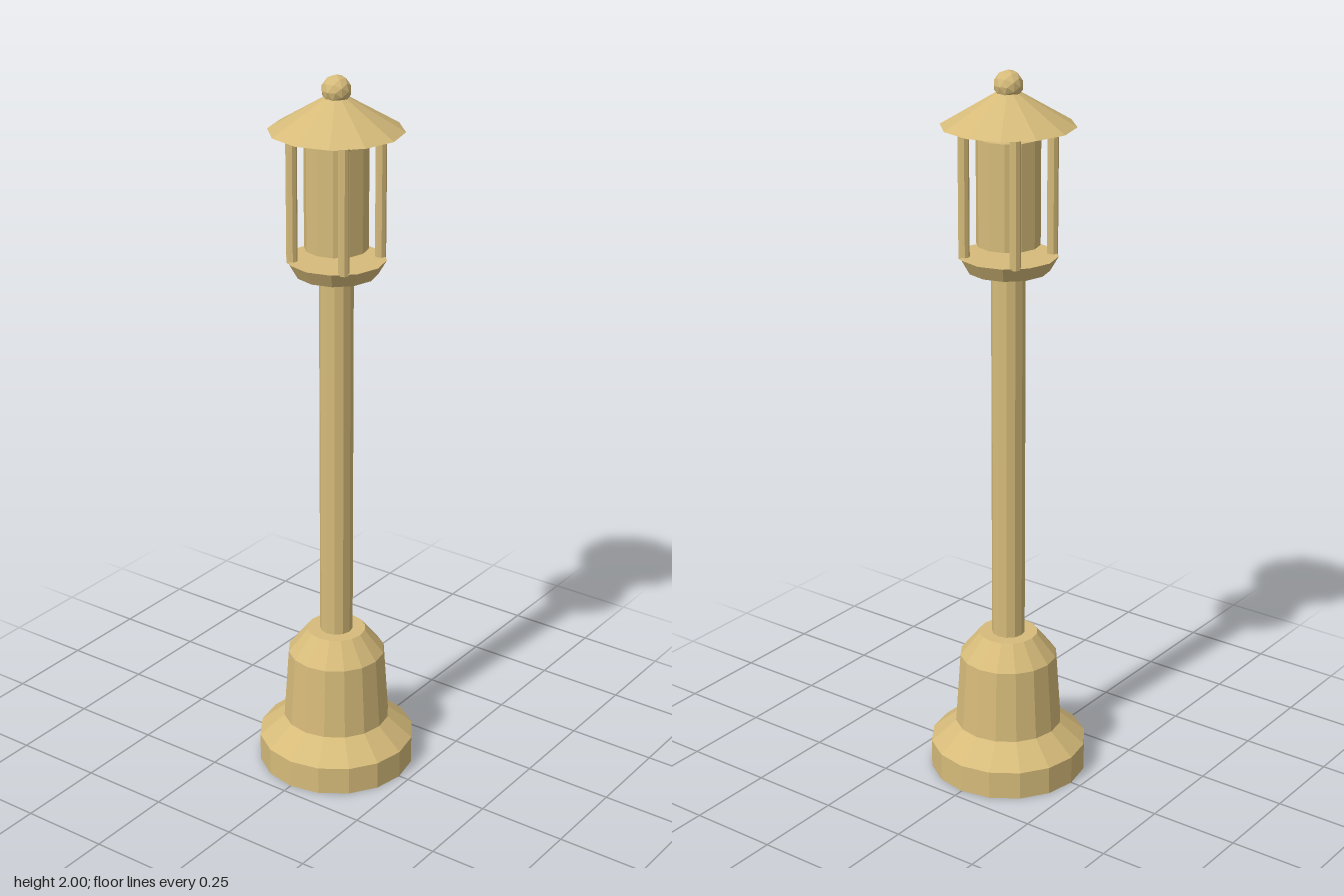
import * as THREE from 'three';

export function createModel() {
  const lamp = new THREE.Group();
  lamp.name = 'streetLamp';

  const brass = new THREE.MeshStandardMaterial({ color: 0xd6bb7a, flatShading: true });
  brass.name = 'pale brass';

  function add(name, geometry, x = 0, y = 0, z = 0) {
    const mesh = new THREE.Mesh(geometry, brass);
    mesh.name = name;
    mesh.position.set(x, y, z);
    lamp.add(mesh);
    return mesh;
  }

  // Closed tapered cylinder between two heights
  function frustum(name, rBottom, rTop, y0, y1, sides, x = 0, z = 0) {
    const geometry = new THREE.CylinderGeometry(rTop, rBottom, y1 - y0, sides);
    return add(name, geometry, x, (y0 + y1) / 2, z);
  }

  // Stepped foot: plinth, sloped shoulder, tapered column and collar
  const footProfile = [
    [0, 0], [0.22, 0], [0.22, 0.08], [0.15, 0.14],
    [0.136, 0.345], [0.082, 0.412], [0, 0.412],
  ].map(([r, y]) => new THREE.Vector2(r, y));
  add('foot', new THREE.LatheGeometry(footProfile, 16));

  // Pole
  frustum('pole', 0.046, 0.046, 0.4, 1.475, 12);

  // Lantern tray, floating lamp core and roof
  frustum('lanternTray', 0.11, 0.133, 1.47, 1.51, 12);
  frustum('lampCore', 0.085, 0.085, 1.54, 1.826, 12);
  frustum('roof', 0.178, 0.03, 1.855, 1.943, 12);

  // Four corner posts on the diagonals
  for (let i = 0; i < 4; i++) {
    const a = Math.PI / 4 + (i * Math.PI) / 2;
    frustum('lanternPost', 0.015, 0.015, 1.505, 1.86, 8, 0.117 * Math.cos(a), 0.117 * Math.sin(a));
  }

  // Faceted ball finial
  add('finial', new THREE.IcosahedronGeometry(0.039, 1), 0, 1.961, 0);

  return lamp;
}
